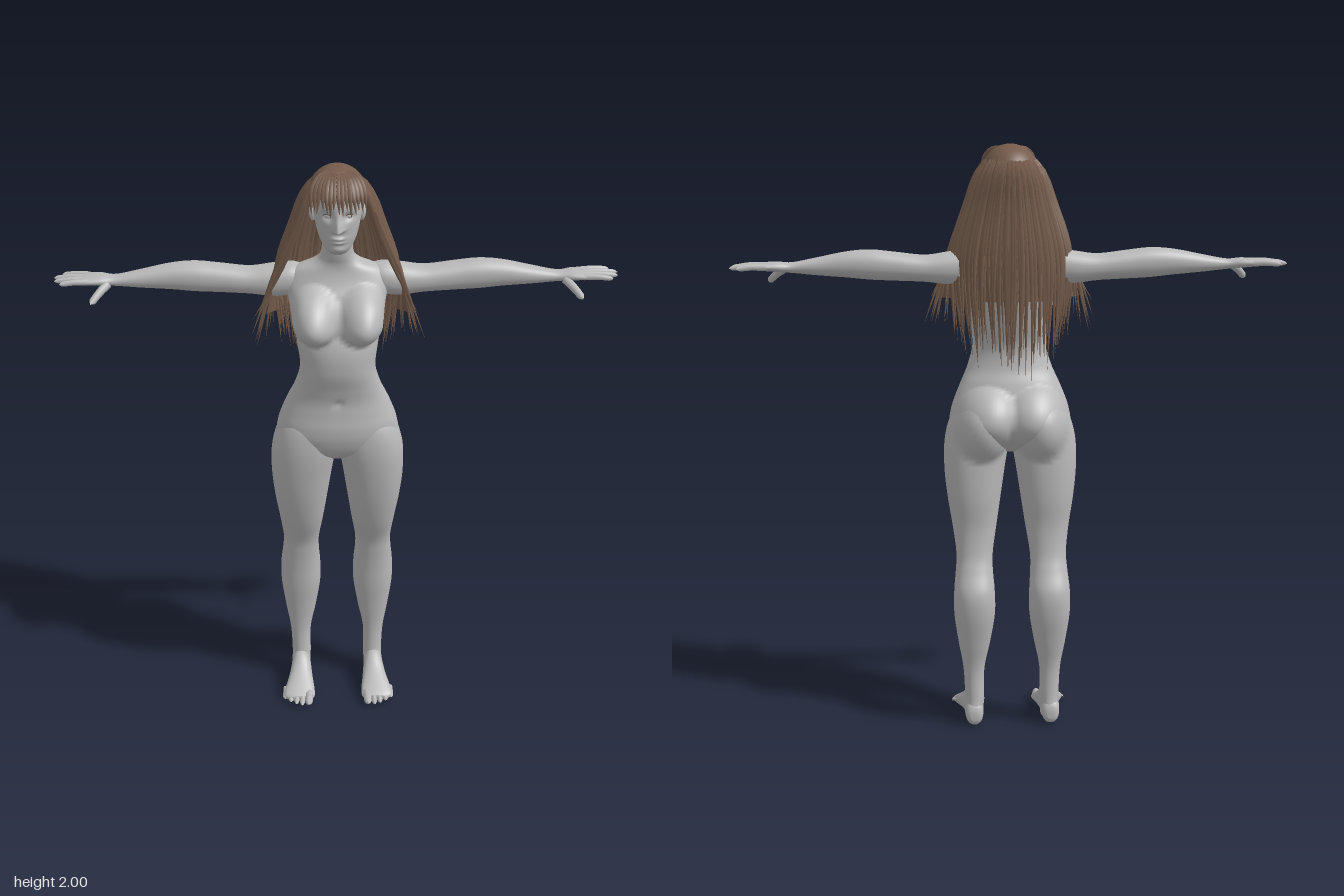
import * as THREE from 'three';

const V = (x, y, z) => new THREE.Vector3(x, y, z);
const clamp01 = (v) => Math.min(1, Math.max(0, v));
const bell = (a, b) => Math.exp(-a * a - b * b);

// Smooth interpolation between the rows of a section table
function sample(rows, t) {
  const n = rows.length - 1, i = Math.min(n - 1, Math.floor(t * n)), f = t * n - i;
  const at = (k) => rows[Math.min(n, Math.max(0, k))];
  return rows[0].map((_, c) => {
    const p0 = at(i - 1)[c], p1 = at(i)[c], p2 = at(i + 1)[c], p3 = at(i + 2)[c];
    return p1 + 0.5 * f * (p2 - p0 + f * (2 * p0 - 5 * p1 + 4 * p2 - p3 + f * (3 * (p1 - p2) + p3 - p0)));
  });
}

// Closed loft along an axis; each row is [position, uMin, uMax, vMin, vMax]
const FRAMES = { y: ['y', 'x', 'z'], x: ['x', 'z', 'y'], z: ['z', 'y', 'x'] };
function loft(axis, rows, steps, sides, shape) {
  const [A, U, W] = FRAMES[axis], pos = [], idx = [], p = V(0, 0, 0);
  const soft = (v) => Math.sign(v) * Math.pow(Math.abs(v), 0.92);
  const put = (a, u, w) => {
    p[A] = a; p[U] = u; p[W] = w;
    if (shape) shape(p);
    pos.push(p.x, p.y, p.z);
  };
  for (let i = 0; i <= steps; i++) {
    const [a, u0, u1, w0, w1] = sample(rows, i / steps);
    for (let j = 0; j < sides; j++) {
      const t = (j / sides) * Math.PI * 2;
      put(a, (u0 + u1) / 2 + soft(Math.cos(t)) * (u1 - u0) / 2, (w0 + w1) / 2 + soft(Math.sin(t)) * (w1 - w0) / 2);
      const k = (j + 1) % sides, r = i * sides, s = r + sides;
      if (i < steps) idx.push(r + j, s + j, r + k, r + k, s + j, s + k);
    }
  }
  // End caps
  const first = pos.length / 3, top = steps * sides;
  for (const r of [rows[0], rows[rows.length - 1]]) put(r[0], (r[1] + r[2]) / 2, (r[3] + r[4]) / 2);
  for (let j = 0; j < sides; j++) {
    const k = (j + 1) % sides;
    idx.push(first, j, k, first + 1, top + k, top + j);
  }
  const g = new THREE.BufferGeometry();
  g.setAttribute('position', new THREE.Float32BufferAttribute(pos, 3));
  g.setIndex(idx);
  g.computeVertexNormals();
  return g;
}

// Tube whose radius follows a function of its length
function taper(points, radius, steps = 12, sides = 8) {
  const curve = new THREE.CatmullRomCurve3(points);
  const g = new THREE.TubeGeometry(curve, steps, 1, sides), pos = g.attributes.position, p = V(0, 0, 0);
  for (let k = 0; k < pos.count; k++) {
    const t = Math.floor(k / (sides + 1)) / steps, c = curve.getPointAt(t);
    p.fromBufferAttribute(pos, k).sub(c).multiplyScalar(radius(t)).add(c);
    pos.setXYZ(k, p.x, p.y, p.z);
  }
  return g;
}
const digit = (a, b, r) => taper([a, a.clone().lerp(b, 0.5).add(V(0, 0.003, 0)), b],
  (t) => r * (1 - 0.25 * t) * Math.sqrt(clamp01((1 - t) / 0.15)) + 1e-4, 14);

function mirrored(geo) {
  const g = geo.clone().scale(-1, 1, 1), ix = g.index.array;
  for (let i = 0; i < ix.length; i += 3) [ix[i], ix[i + 1]] = [ix[i + 1], ix[i]];
  return g;
}

// Soft volumes of the chest and seat
function bodyShape(p) {
  const x = Math.abs(p.x);
  const dy = p.y - 1.495, cx = (x - 0.083) / 0.082, cy = dy / (dy > 0 ? 0.11 : 0.075);
  const chest = Math.pow(clamp01(1 - cx * cx - cy * cy), 0.75) * clamp01(p.z / 0.05);
  const sx = (x - 0.088) / 0.11, sy = (p.y - 1.065) / 0.125;
  const seat = Math.pow(clamp01(1 - sx * sx - sy * sy), 0.8) * clamp01(-p.z / 0.05);
  p.x += Math.sign(p.x) * 0.015 * chest;
  p.z += 0.085 * chest - 0.068 * seat - 0.008 * bell(p.x / 0.012, (p.y - 1.2) / 0.015) * clamp01(p.z / 0.05);
}

// Brow, sockets, nose, lips and chin
function faceShape(p) {
  if (p.z < 0.03) return;
  const x = Math.abs(p.x), y = p.y;
  const slope = clamp01((1.88 - y) / 0.06) * clamp01((y - 1.808) / 0.01);
  p.z += 0.034 * slope * bell(x / (0.009 + 0.007 * slope), 0)
    - 0.014 * bell((x - 0.033) / 0.018, (y - 1.862) / 0.014)
    + 0.009 * bell(x / 0.022, (y - 1.79) / 0.006) + 0.008 * bell(x / 0.02, (y - 1.776) / 0.006)
    + 0.007 * bell(x / 0.025, (y - 1.75) / 0.012);
}

const TORSO = [
  [0.96, -0.05, 0.05, -0.04, 0.04], [1.0, -0.16, 0.16, -0.08, 0.09], [1.05, -0.205, 0.205, -0.1, 0.11],
  [1.1, -0.203, 0.203, -0.1, 0.115], [1.15, -0.187, 0.187, -0.09, 0.11], [1.2, -0.166, 0.166, -0.075, 0.108],
  [1.25, -0.144, 0.144, -0.057, 0.117], [1.32, -0.126, 0.126, -0.053, 0.134], [1.4, -0.135, 0.135, -0.078, 0.133],
  [1.48, -0.15, 0.15, -0.1, 0.105], [1.55, -0.163, 0.163, -0.105, 0.075], [1.6, -0.17, 0.17, -0.1, 0.045],
  [1.64, -0.145, 0.145, -0.093, 0.03], [1.67, -0.08, 0.08, -0.08, 0.028], [1.7, -0.054, 0.054, -0.067, 0.035],
  [1.76, -0.05, 0.05, -0.06, 0.045]];
const HEAD = [
  [1.715, -0.02, 0.02, 0.0, 0.055], [1.738, -0.04, 0.04, -0.01, 0.093], [1.77, -0.058, 0.058, -0.045, 0.104],
  [1.8, -0.068, 0.068, -0.07, 0.108], [1.85, -0.078, 0.078, -0.09, 0.112], [1.9, -0.082, 0.082, -0.1, 0.113],
  [1.94, -0.078, 0.078, -0.095, 0.1], [1.97, -0.058, 0.058, -0.07, 0.07], [1.983, -0.025, 0.025, -0.03, 0.03]];
const LEG = [
  [0.02, 0.102, 0.162, -0.12, -0.01], [0.06, 0.099, 0.165, -0.122, -0.012], [0.1, 0.097, 0.164, -0.117, -0.028],
  [0.2, 0.096, 0.169, -0.115, -0.037], [0.3, 0.076, 0.186, -0.135, -0.03], [0.4, 0.06, 0.2, -0.155, -0.018],
  [0.48, 0.06, 0.2, -0.155, -0.012], [0.55, 0.065, 0.193, -0.125, -0.004], [0.61, 0.064, 0.19, -0.105, 0.008],
  [0.7, 0.05, 0.201, -0.097, 0.045], [0.8, 0.035, 0.217, -0.105, 0.075], [0.9, 0.02, 0.227, -0.105, 0.094],
  [1.0, 0.005, 0.225, -0.1, 0.105], [1.08, 0.01, 0.204, -0.09, 0.1], [1.14, 0.03, 0.17, -0.07, 0.08]];
const FOOT = [
  [-0.127, 0.02, 0.05, 0.12, 0.146], [-0.115, 0.003, 0.08, 0.104, 0.162], [-0.07, 0, 0.11, 0.1, 0.166],
  [-0.02, 0.002, 0.115, 0.097, 0.168], [0.03, 0.003, 0.082, 0.092, 0.178], [0.08, 0, 0.055, 0.086, 0.192],
  [0.115, 0, 0.036, 0.086, 0.196], [0.13, 0.006, 0.026, 0.1, 0.175]];
const ARM = [
  [0.1, -0.085, -0.005, 1.57, 1.64], [0.15, -0.1, 0.01, 1.545, 1.653], [0.21, -0.103, 0.01, 1.538, 1.647],
  [0.29, -0.1, 0.004, 1.547, 1.637], [0.39, -0.1, 0, 1.552, 1.648], [0.47, -0.099, -0.001, 1.556, 1.656],
  [0.55, -0.093, -0.005, 1.564, 1.65], [0.65, -0.08, -0.01, 1.572, 1.63], [0.73, -0.07, -0.015, 1.58, 1.615],
  [0.78, -0.083, -0.004, 1.584, 1.618], [0.83, -0.09, 0, 1.589, 1.614], [0.848, -0.08, -0.01, 1.594, 1.608]];

// A hair strand's path: angle 0 is the left side, PI/2 the back
function hairPath(a, tipY, k = 1) {
  const c = Math.cos(a), s = Math.sin(a), front = clamp01(-s / 0.42);
  return [V(0.03 * c, 1.985, -0.03 * s), V(0.098 * c * k, 1.925, -0.005 - 0.118 * s * k),
    V(0.148 * c * k, 1.8, -0.015 - 0.122 * s * k), V((0.2 + 0.03 * front) * c * k, 1.62, -0.032 - 0.125 * s * k),
    V((0.185 + 0.13 * front) * c * k, tipY, -0.04 - 0.118 * s * k)];
}

export function createModel() {
  const model = new THREE.Group();
  const skin = new THREE.MeshStandardMaterial({ color: 0xb9b9b9 });
  skin.name = 'grey skin';
  const hair = new THREE.MeshStandardMaterial({ color: 0x755c4c, side: THREE.DoubleSide });
  hair.name = 'brown hair';
  const add = (name, geo, mat = skin) => {
    const m = new THREE.Mesh(geo, mat);
    m.name = name;
    model.add(m);
  };
  const pair = (name, geo, mat) => {
    add('left ' + name, geo, mat);
    add('right ' + name, mirrored(geo), mat);
  };

  add('torso', loft('y', TORSO, 110, 80, bodyShape));
  add('head', loft('y', HEAD, 80, 80, faceShape));
  pair('ear', new THREE.SphereGeometry(1, 12, 10).scale(0.012, 0.03, 0.018).translate(0.08, 1.845, 0));
  pair('eye', new THREE.SphereGeometry(0.013, 12, 10).translate(0.033, 1.862, 0.083));
  pair('lashes', taper([V(0.018, 1.865, 0.098), V(0.033, 1.871, 0.099), V(0.05, 1.865, 0.085)], () => 0.0022, 8, 5), hair);

  pair('leg', loft('y', LEG, 90, 40, bodyShape));
  pair('foot', loft('z', FOOT, 28, 28));
  for (let i = 0; i < 5; i++) {
    const r = i ? 0.011 : 0.017, x = 0.104 + i * 0.0205 + (i ? 0.003 : 0);
    pair('toe', digit(V(x, 0.022, 0.085 - i * 0.004), V(x + 0.004, r, 0.166 - i * i * 0.0028), r));
  }

  pair('arm', loft('x', ARM, 66, 32));
  [0.912, 0.932, 0.935, 0.91].forEach((tip, i) =>
    pair('finger', digit(V(0.815, 1.602, -0.012 - i * 0.022), V(tip, 1.598, -0.003 - i * 0.029), 0.0115)));
  pair('thumb', digit(V(0.755, 1.592, -0.02), V(0.81, 1.542, 0.034), 0.015));

  // Hair cap and the solid layer beneath the strands
  add('hair cap', new THREE.SphereGeometry(1, 40, 16, 0, Math.PI * 2, 0, 1.25)
    .scale(0.098, 0.1, 0.122).translate(0, 1.899, -0.003), hair);
  const layer = new THREE.PlaneGeometry(1, 1, 36, 16), lp = layer.attributes.position;
  for (let k = 0; k < lp.count; k++) {
    const a = -0.35 + (lp.getX(k) + 0.5) * (Math.PI + 0.7);
    const q = new THREE.CatmullRomCurve3(hairPath(a, 1.36, 0.96)).getPoint((0.5 - lp.getY(k)) * 0.88);
    lp.setXYZ(k, q.x, q.y, q.z);
  }
  layer.computeVertexNormals();
  add('hair layer', layer, hair);

  // Long strands with ragged tips
  let seed = 7;
  const rnd = () => (seed = (seed * 16807) % 2147483647) / 2147483647;
  const strand = (r) => (t) => r * (0.5 + 0.5 * clamp01(t * 4)) * Math.min(1, (1 - t) * 2.2) + 1e-4;
  for (let i = 0; i < 110; i++) {
    const a = -0.45 + (i / 109) * (Math.PI + 0.9);
    const back = clamp01(Math.sin(a));
    const path = hairPath(a, 1.42 - 0.12 * back - 0.09 * rnd() + 0.07 * rnd(), 0.96 + 0.06 * rnd());
    path[4].x += (rnd() - 0.5) * 0.03;
    add('hair strand', taper(path, strand(0.008 + 0.004 * rnd()), 16, 5), hair);
  }
  // Fringe
  for (let i = 0; i < 15; i++) {
    const u = i / 7 - 1, x = u * 0.085, z = 0.118 * Math.sqrt(1 - 0.5 * u * u);
    add('fringe lock', taper([V(x * 0.3, 1.988, 0.01), V(x * 0.8, 1.967, z * 0.68), V(x, 1.93, z * 0.97),
      V(x * 1.06 + (rnd() - 0.5) * 0.015, 1.888 - 0.025 * rnd(), z + 0.008)], strand(0.012), 12, 6), hair);
  }
  return model;
}
